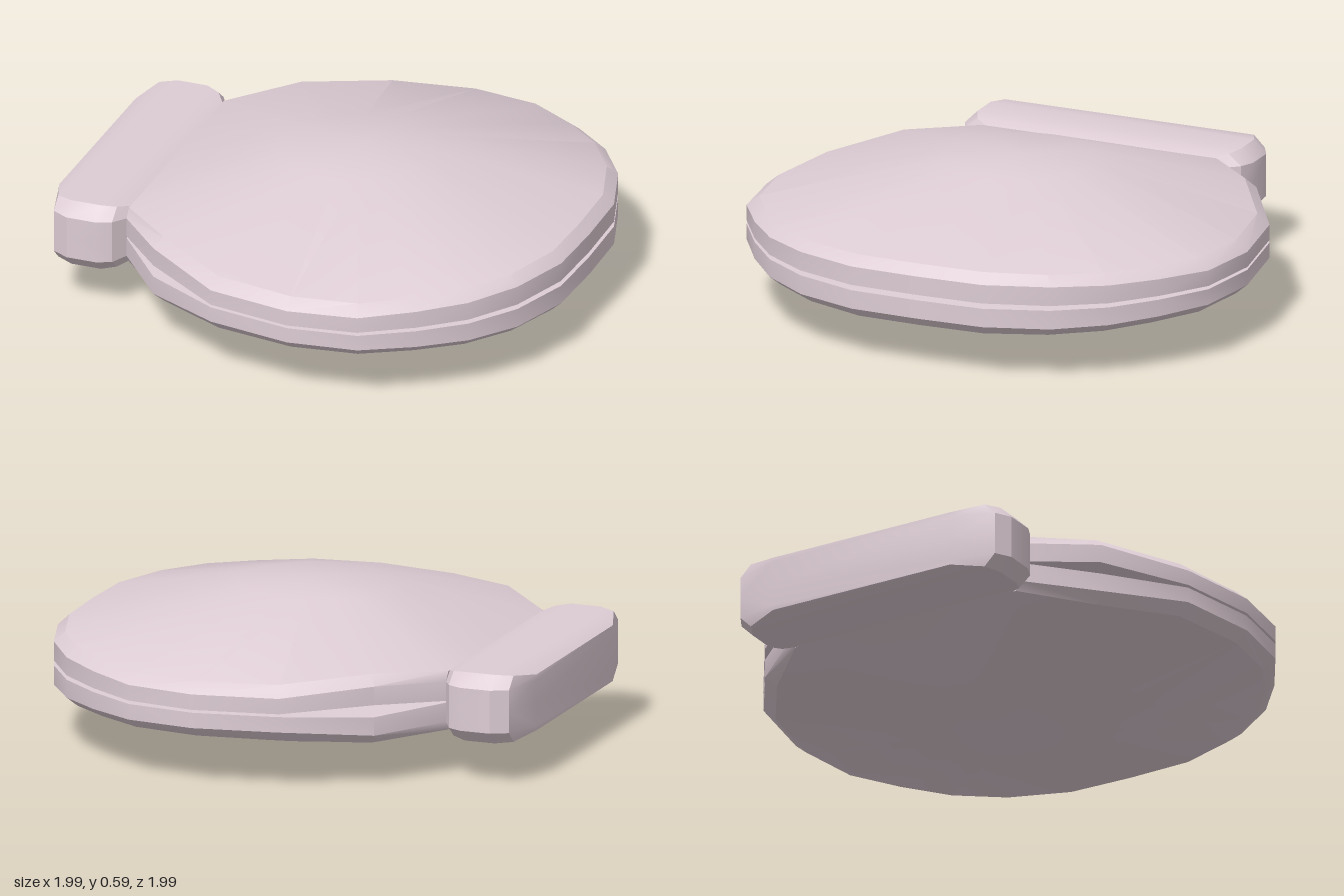
import * as THREE from 'three';
import { toCreasedNormals } from 'three/addons/utils/BufferGeometryUtils.js';

const MID = 0.2965; // height of the seam between the two halves

// Half outline of a shell: x, z, lip height, rim height, bevel top height
const SHELL = [
  [-0.68, 0, 0.30, 0.375, 0.41],
  [-0.68, 0.25, 0.30, 0.375, 0.41],
  [-0.68, 0.51, 0.30, 0.375, 0.41],
  [-0.48, 0.74, 0.32, 0.392, 0.43],
  [-0.17, 0.935, 0.302, 0.362, 0.405],
  [0.16, 0.993, 0.302, 0.362, 0.402],
  [0.43, 0.955, 0.303, 0.364, 0.402],
  [0.62, 0.835, 0.304, 0.37, 0.406],
  [0.78, 0.70, 0.305, 0.375, 0.411],
  [0.905, 0.515, 0.306, 0.38, 0.415],
  [0.985, 0.27, 0.307, 0.38, 0.418],
  [0.993, 0, 0.307, 0.38, 0.418],
];

// Half outline of the hinge: outer x, z, rim height, inner z, inner height
const HINGE = [
  [-1, 0.40, 0.385, 0.39, 0.405],
  [-0.955, 0.56, 0.38, 0.515, 0.425],
  [-0.89, 0.595, 0.38, 0.545, 0.43],
  [-0.77, 0.595, 0.38, 0.545, 0.43],
  [-0.715, 0.57, 0.38, 0.52, 0.422],
  [-0.68, 0.51, 0.375, 0.47, 0.41],
];

// Completes a half ring by mirroring it in z
const fullRing = (half) => [
  ...half,
  ...half.filter((p) => p[2] > 0).reverse().map(([x, y, z]) => [x, y, -z]),
];

// Skins stacked rings; caps is a list of extra triangles; flip mirrors about the seam
function loft(rings, extraPoints, caps, flip) {
  const n = rings[0].length;
  const points = [...rings.flat(), ...extraPoints];
  const tris = [...caps];
  for (let r = 0; r < rings.length - 1; r++) {
    for (let i = 0; i < n; i++) {
      const a = r * n + i, b = r * n + (i + 1) % n;
      tris.push([a, b, b + n], [a, b + n, a + n]);
    }
  }
  const geometry = new THREE.BufferGeometry();
  const pos = points.flatMap(([x, y, z]) => [x, flip ? 2 * MID - y : y, z]);
  geometry.setAttribute('position', new THREE.Float32BufferAttribute(pos, 3));
  geometry.setIndex(tris.flatMap(([a, b, c]) => (flip ? [a, c, b] : [a, b, c])));
  return toCreasedNormals(geometry, 0.45);
}

// Domed shell half with a bevelled rim and a slightly parted lip
function shellGeometry(flip) {
  const inset = (x, k) => (x < -0.6 ? x : 0.1 + (x - 0.1) * k);
  const rings = [
    SHELL.map(([x, z]) => [inset(x, 0.85), 0.299, z * 0.85]),
    SHELL.map(([x, z, lip]) => [x, lip, z]),
    SHELL.map(([x, z, , rim]) => [x, rim, z]),
    SHELL.map(([x, z, , , top]) => [inset(x, 0.955), top, z * 0.952]),
    SHELL.map(([x, z]) => {
      const a = Math.atan2(z, x - 0.06);
      return [0.05 + 0.29 * Math.cos(a), 0.573, z === 0 ? 0 : 0.28 * Math.sin(a)];
    }),
  ].map(fullRing);
  const n = rings[0].length, last = (rings.length - 1) * n, centre = rings.length * n;
  const caps = [];
  for (let i = 0; i < n; i++) {
    const j = (i + 1) % n;
    caps.push([centre, last + i, last + j], [centre + 1, j, i]);
  }
  return loft(rings, [[0.07, 0.593, 0], [0.07, 0.299, 0]], caps, flip);
}

// Half of the hinge bar, its top spanned by strips from side to side
function hingeGeometry(flip) {
  const rings = [
    HINGE.map(([x, z]) => [x, MID, z]),
    HINGE.map(([x, z, rim]) => [x, rim, z]),
    HINGE.map(([x, , , z, y]) => [x, y, z]),
  ].map(fullRing);
  const n = rings[0].length, top = 2 * n, caps = [];
  for (let i = 0; i < n / 2 - 1; i++) {
    const a = top + i, b = a + 1, d = top + n - 1 - i, c = d - 1;
    caps.push([a, b, c], [a, c, d]);
  }
  return loft(rings, [], caps, flip);
}

export function createModel() {
  const group = new THREE.Group();
  group.name = 'clam';
  const material = new THREE.MeshStandardMaterial({ color: 0xddccd4 });
  const add = (name, geometry) => {
    const mesh = new THREE.Mesh(geometry, material);
    mesh.name = name;
    group.add(mesh);
  };
  add('upperShell', shellGeometry(false));
  add('lowerShell', shellGeometry(true));
  add('upperHinge', hingeGeometry(false));
  add('lowerHinge', hingeGeometry(true));
  return group;
}
